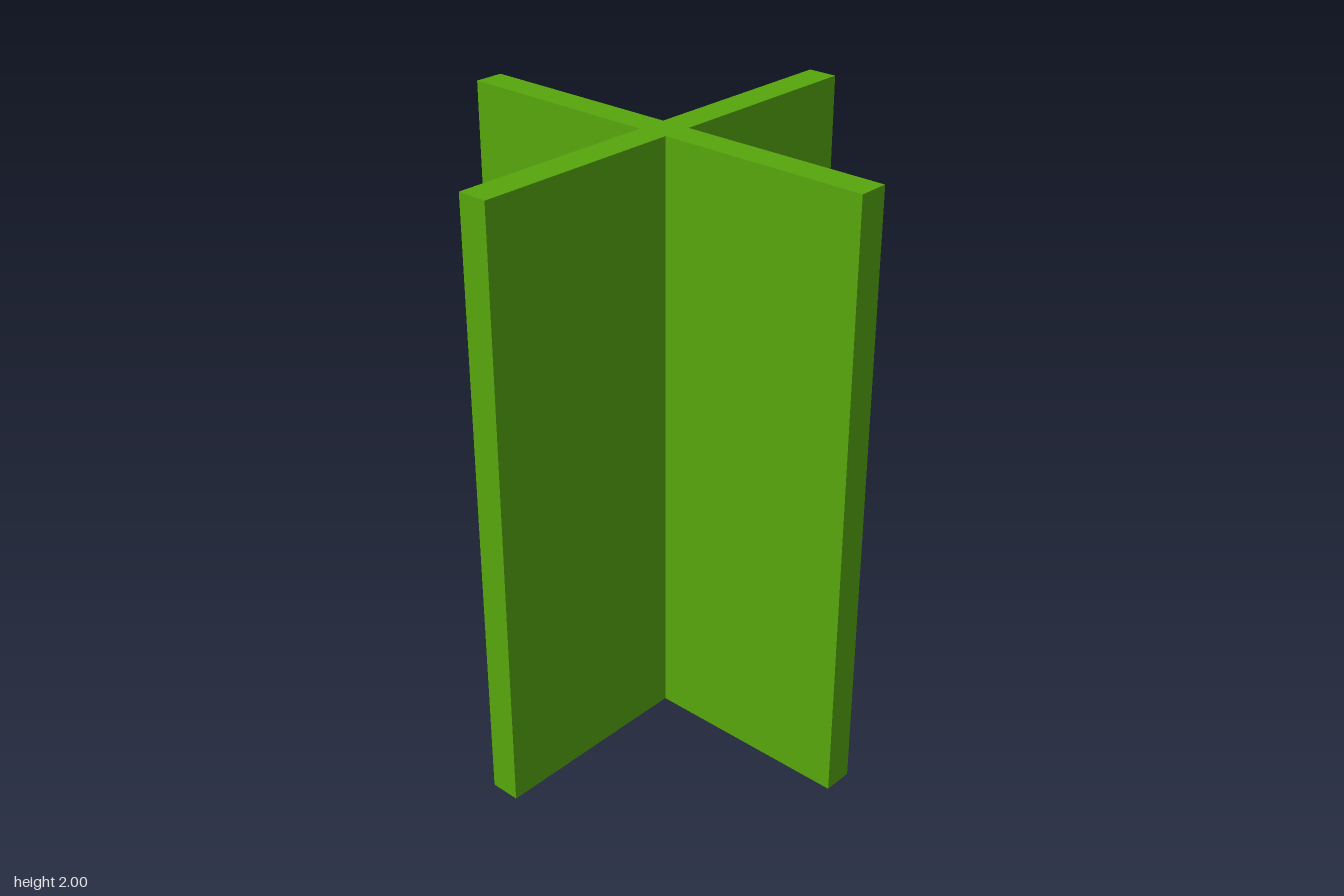
import * as THREE from 'three';

const HEIGHT = 2;
const REACH = 0.75; // centre to panel end
const HALF = 0.05; // half the panel thickness

export function createModel() {
  const group = new THREE.Group();
  group.name = 'crossedPanels';

  // Plus-shaped outline: three corners per arm, turned a quarter each time
  const points = [];
  const arm = [[REACH, -HALF], [REACH, HALF], [HALF, HALF]];
  for (let i = 0; i < 4; i++) {
    for (const [x, y] of arm) {
      points.push(new THREE.Vector2(x, y).rotateAround(new THREE.Vector2(), i * Math.PI / 2));
    }
  }

  // Upright panels, extruded from the ground up
  const geometry = new THREE.ExtrudeGeometry(new THREE.Shape(points), { depth: HEIGHT, bevelEnabled: false });
  geometry.rotateX(-Math.PI / 2);
  const panels = new THREE.Mesh(geometry, new THREE.MeshStandardMaterial({ color: 0x56a60d }));
  panels.name = 'uprightPanels';
  group.add(panels);

  return group;
}
